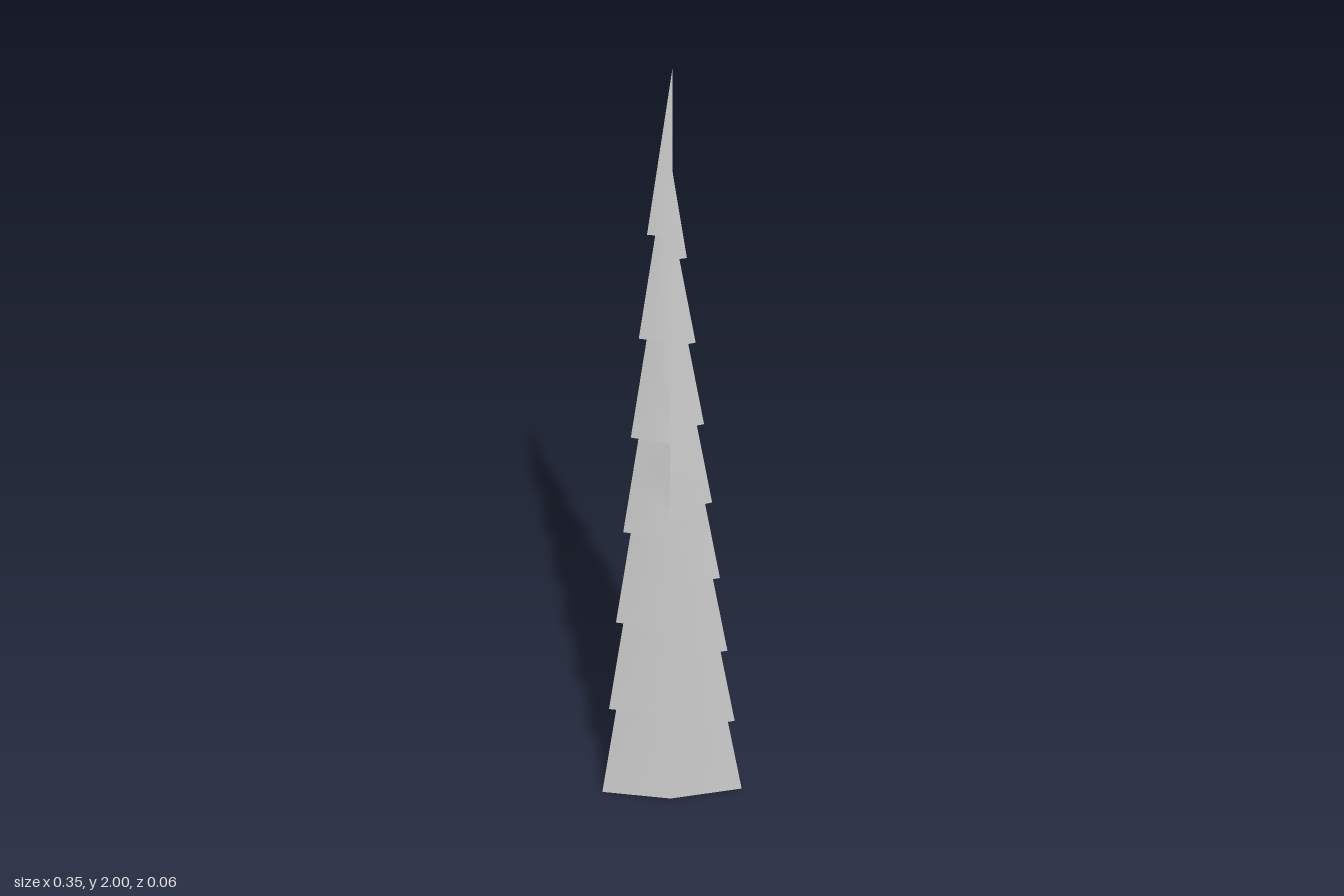
import * as THREE from 'three';
import { toCreasedNormals } from 'three/addons/utils/BufferGeometryUtils.js';

const lerp = THREE.MathUtils.lerp;

// piecewise linear curve through [y, value] points
function curve(points, y) {
  for (let i = 1; i < points.length; i++) {
    const [y0, a] = points[i - 1], [y1, b] = points[i];
    if (y <= y1) return lerp(a, b, (y - y0) / (y1 - y0));
  }
  return points[points.length - 1][1];
}

// central ridge: sideways position and half thickness of the blade
const ridgeX = y => curve([[0, -0.005], [1, -0.006], [1.7, -0.011], [2, 0]], y);
const ridgeZ = y => curve([[0, 0.031], [0.97, 0.031], [1.32, 0.018], [1.7, 0.004], [1.91, 0.0015], [2, 0]], y);

// each tooth of a cutting edge runs from [y0, outer x] up to [y1, inner x]
function makeTeeth(count, pitch, base, slope, notch) {
  const teeth = [];
  for (let i = 0; i < count; i++) {
    const y0 = i * pitch, y1 = y0 + pitch;
    teeth.push([y0, base - slope * y0, y1, Math.max(0, base - slope * y1 - notch)]);
  }
  return teeth;
}

function bladeGeometry() {
  const edges = [
    { side: 1, teeth: [...makeTeeth(8, 0.22, 0.173, 0.0915, 0.017), [1.76, 0, 2, 0]] },
    { side: -1, teeth: [...makeTeeth(6, 0.2667, 0.174, 0.0745, 0.018), [1.6002, 0.055, 2, 0]] },
  ];
  edges[0].teeth[7][3] = 0;

  // shared heights keep both halves joined along the ridge
  const starts = edges.flatMap(e => e.teeth.map(t => t[0]));
  const levels = [...new Set([...starts, 0.97, 1.7, 1.91, 2])].sort((a, b) => a - b);

  const positions = [];
  const triangle = (a, b, c, flip) => {
    const area = b.clone().sub(a).cross(c.clone().sub(a)).length();
    if (area < 1e-9) return;
    for (const p of flip ? [a, c, b] : [a, b, c]) positions.push(p.x, p.y, p.z);
  };

  for (const { side, teeth } of edges) {
    for (const face of [1, -1]) {
      const flip = side * face < 0;
      const ridge = y => new THREE.Vector3(ridgeX(y), y, face * ridgeZ(y));
      teeth.forEach(([y0, x0, y1, x1], i) => {
        const edge = y => new THREE.Vector3(side * lerp(x0, x1, (y - y0) / (y1 - y0)), y, 0);

        // underside of the tooth, or the base of the blade
        const inner = new THREE.Vector3(i ? side * teeth[i - 1][3] : ridgeX(0), y0, 0);
        triangle(ridge(y0), inner, edge(y0), flip);

        // bevel from the ridge out to the cutting edge
        const ys = levels.filter(y => y > y0 + 1e-6 && y < y1 - 1e-6);
        const rows = [y0, ...ys, y1];
        for (let k = 1; k < rows.length; k++) {
          const lo = rows[k - 1], hi = rows[k];
          triangle(ridge(lo), edge(lo), edge(hi), flip);
          triangle(ridge(lo), edge(hi), ridge(hi), flip);
        }
      });
    }
  }

  const geometry = new THREE.BufferGeometry();
  geometry.setAttribute('position', new THREE.Float32BufferAttribute(positions, 3));
  return toCreasedNormals(geometry, 0.7);
}

export function createModel() {
  const group = new THREE.Group();
  group.name = 'serratedSpike';
  const material = new THREE.MeshStandardMaterial({ color: 0xcccccc, side: THREE.DoubleSide });
  const blade = new THREE.Mesh(bladeGeometry(), material);
  blade.name = 'serratedBlade';
  group.add(blade);
  return group;
}
